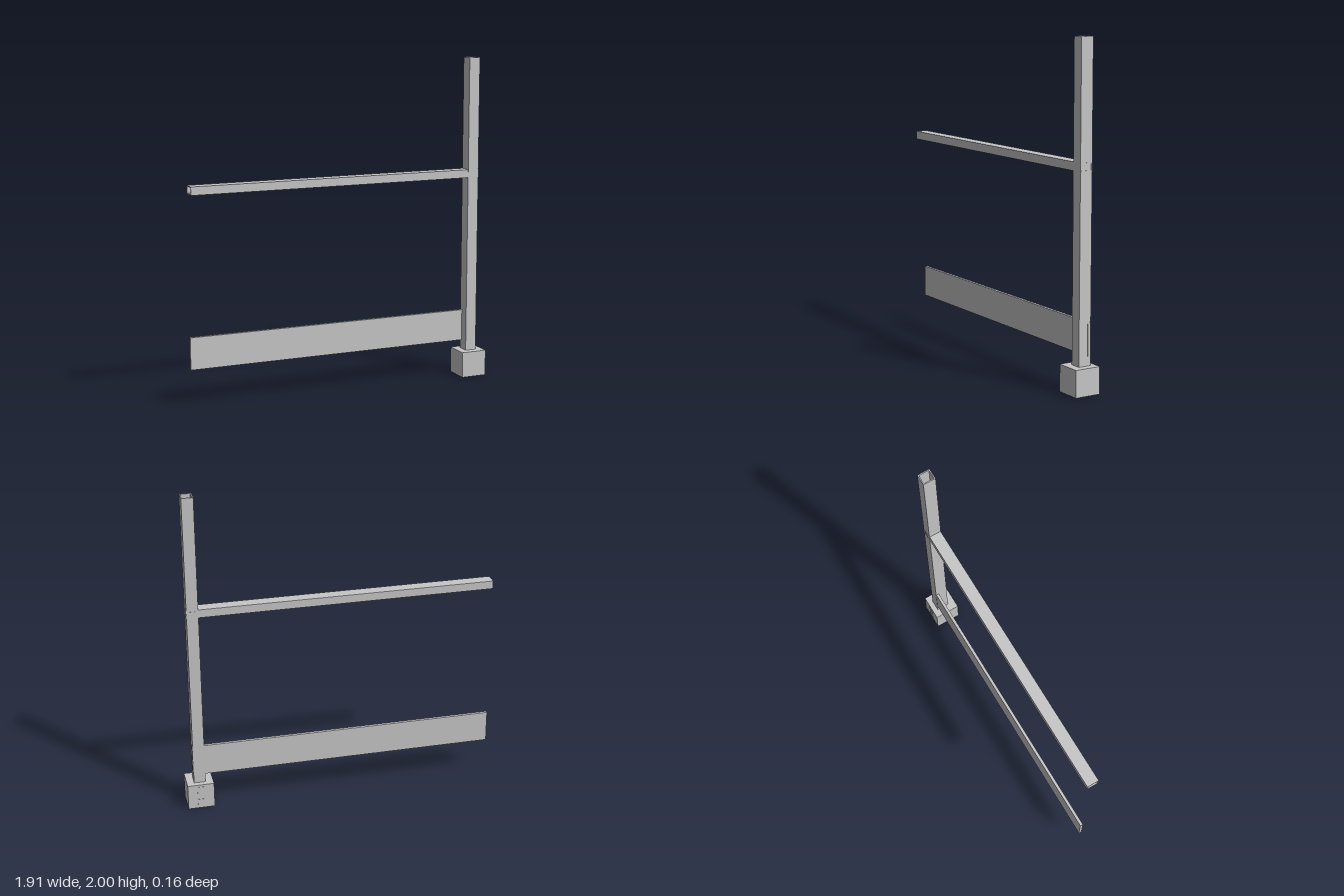
import * as THREE from 'three';

export function createModel() {
  const group = new THREE.Group();
  const grey = new THREE.MeshStandardMaterial({ color: 0xc7c7c7 });
  grey.name = 'light grey';

  const add = (name, geometry) => {
    const mesh = new THREE.Mesh(geometry, grey);
    mesh.name = name;
    group.add(mesh);
    return mesh;
  };

  // Solid box given by its limits on each axis
  const box = (name, [x0, x1], [y0, y1], [z0, z1]) => {
    const mesh = add(name, new THREE.BoxGeometry(x1 - x0, y1 - y0, z1 - z0));
    mesh.position.set((x0 + x1) / 2, (y0 + y1) / 2, (z0 + z1) / 2);
  };

  // Open rectangular tube, w by h in section, running along +z
  const tube = (w, h, length, wall) => {
    const rect = (P, a, b) => new P([
      new THREE.Vector2(-a, -b), new THREE.Vector2(a, -b),
      new THREE.Vector2(a, b), new THREE.Vector2(-a, b),
    ]);
    const shape = rect(THREE.Shape, w / 2, h / 2);
    shape.holes.push(rect(THREE.Path, w / 2 - wall, h / 2 - wall));
    return new THREE.ExtrudeGeometry(shape, { depth: length, bevelEnabled: false });
  };

  const back = -0.046, front = 0.032, footingBack = -0.079;
  const midZ = (back + front) / 2, depth = front - back;
  const postX = 0.875;

  // Footing block
  box('footing', [0.793, 0.955], [0, 0.16], [footingBack, 0.081]);

  // Hollow upright post
  const post = add('post', tube(0.07, depth, 1.84, 0.007).rotateX(-Math.PI / 2));
  post.position.set(postX, 0.16, midZ);

  // Hollow hand rail running through the post, just inside its faces
  const rail = add('handRail', tube(depth - 0.003, 0.05, 1.87, 0.006).rotateY(Math.PI / 2));
  rail.position.set(-0.957, 1.285, midZ);

  // Toe board just inside the back face of the post
  box('toeBoard', [-0.957, 0.913], [0.215, 0.41], [back + 0.002, back + 0.02]);

  // Square fixing plates on the back
  const plate = (name, y, z, size) =>
    box(name, [postX - size / 2, postX + size / 2], [y - size / 2, y + size / 2], [z - 0.002, z]);
  plate('railFixing', 1.285, back, 0.034);
  for (const y of [0.04, 0.125]) plate('footingFixing', y, footingBack, 0.042);

  return group;
}
